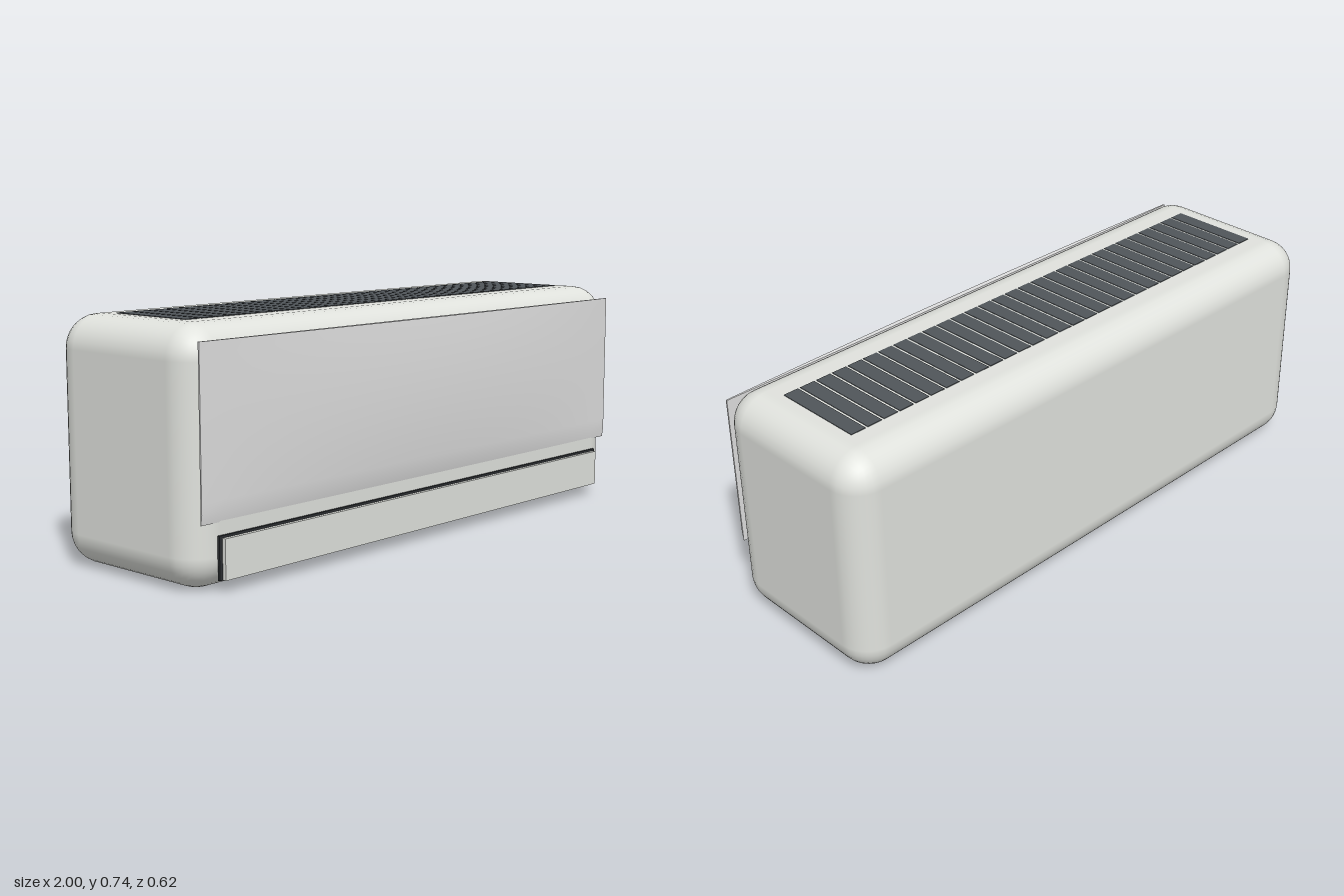
import * as THREE from 'three';
import { RoundedBoxGeometry } from 'three/addons/geometries/RoundedBoxGeometry.js';

const shell = new THREE.MeshStandardMaterial({ name: 'shell white', color: 0xe0e2dd });
const panelWhite = new THREE.MeshStandardMaterial({ name: 'panel white', color: 0xdedede });
const ventGrey = new THREE.MeshStandardMaterial({ name: 'vent grey', color: 0x50555a });
const slotDark = new THREE.MeshStandardMaterial({ name: 'slot dark', color: 0x2b2e31 });

function part(name, geometry, material, x, y, z) {
  const mesh = new THREE.Mesh(geometry, material);
  mesh.name = name;
  mesh.position.set(x, y, z);
  return mesh;
}

// Thin slab whose front bulges gently both ways and curls back at the bottom edge
function bulgedPanel(width, height, depth, bulge) {
  const geo = new THREE.BoxGeometry(width, height, depth, 24, 16, 1);
  const p = geo.attributes.position;
  for (let i = 0; i < p.count; i++) {
    if (p.getZ(i) < 0) continue;
    const u = p.getX(i) / (width / 2);
    const v = p.getY(i) / height + 0.5;
    const across = 1 - u * u;
    const t = v < 0.62 ? (0.62 - v) / 0.62 : (v - 0.62) / 0.62;
    const curl = v < 0.01 ? -depth * 0.9 : 0;
    p.setZ(i, depth / 2 + bulge * across * (1 - t * t) + curl);
  }
  geo.computeVertexNormals();
  return geo;
}

export function createModel() {
  const model = new THREE.Group();
  model.name = 'wallAirConditioner';

  // Rounded housing
  model.add(part('housing', new RoundedBoxGeometry(2, 0.74, 0.6, 4, 0.1), shell, 0, 0.37, -0.012));

  // Curved front cover
  model.add(part('frontPanel', bulgedPanel(1.94, 0.5, 0.005, 0.021), panelWhite, 0, 0.448, 0.2895));

  // Air outlet with its flap
  model.add(part('outletSlot', new THREE.BoxGeometry(1.82, 0.126, 0.008), slotDark, 0, 0.098, 0.291));
  model.add(part('outletFlap', new THREE.BoxGeometry(1.8, 0.118, 0.012), shell, 0, 0.095, 0.302));

  // Intake grille on the top
  const grille = new THREE.Group();
  grille.name = 'intakeGrille';
  const count = 30, pitch = 1.762 / count;
  const strip = new THREE.BoxGeometry(pitch - 0.008, 0.006, 0.3);
  for (let i = 0; i < count; i++) {
    grille.add(part('intakeStrip', strip, ventGrey, (i - (count - 1) / 2) * pitch, 0.739, -0.015));
  }
  model.add(grille);

  return model;
}
